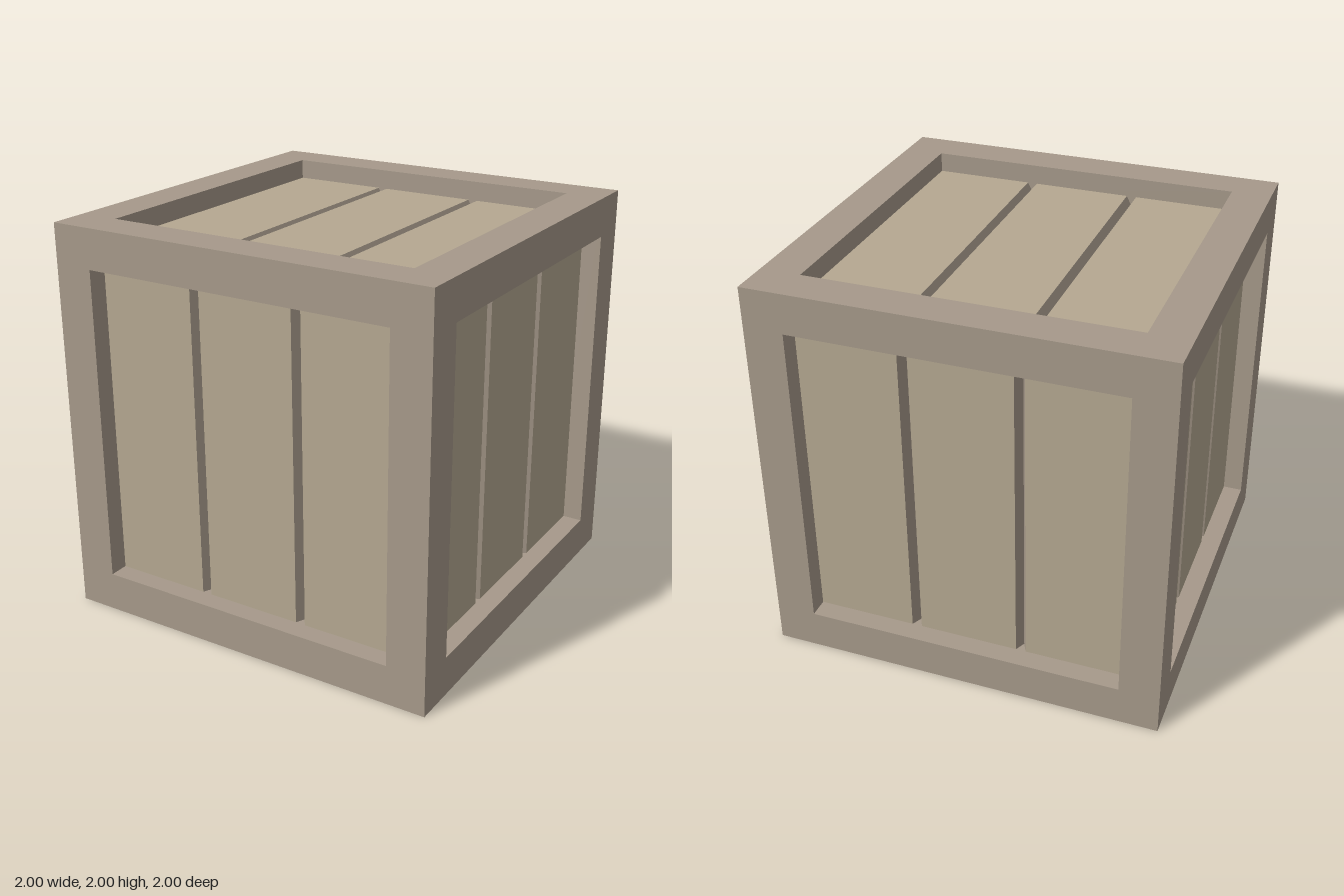
import * as THREE from 'three';

const BEAM = 0.2;      // square section of the frame
const INNER = 1.6;     // clear opening between beams
const FACE = 0.9;      // distance of the panels from the crate centre
const PLANK = 0.5;
const GAP = 0.05;      // groove width and depth

const frameMat = new THREE.MeshStandardMaterial({ color: 0xa6998a });
const plankMat = new THREE.MeshStandardMaterial({ color: 0xb5a891 });

function addMesh(parent, name, geometry, material, x, y, z) {
  const mesh = new THREE.Mesh(geometry, material);
  mesh.name = name;
  mesh.position.set(x, y, z);
  parent.add(mesh);
}

// V-shaped groove: a strip with its middle line pushed inwards
function grooveGeometry() {
  const strip = new THREE.PlaneGeometry(GAP, INNER, 2, 1);
  const pos = strip.attributes.position;
  for (let i = 0; i < pos.count; i++) {
    if (Math.abs(pos.getX(i)) < 1e-6) pos.setZ(i, -GAP);
  }
  const flat = strip.toNonIndexed();
  flat.computeVertexNormals();
  return flat;
}

// One recessed side: three planks with two grooves between them
function createPanel(name, rx, ry) {
  const panel = new THREE.Group();
  panel.name = name;
  const plank = new THREE.PlaneGeometry(PLANK, INNER);
  const groove = grooveGeometry();
  for (const i of [-1, 0, 1]) {
    addMesh(panel, 'plank', plank, plankMat, i * (PLANK + GAP), 0, FACE);
  }
  for (const s of [-1, 1]) {
    addMesh(panel, 'groove', groove, frameMat, s * (PLANK + GAP) / 2, 0, FACE);
  }
  panel.rotation.set(rx, ry, 0);
  return panel;
}

// Twelve beams along the edges of the cube
function createFrame() {
  const frame = new THREE.Group();
  frame.name = 'frame';
  const post = new THREE.BoxGeometry(BEAM, 2, BEAM);
  const crossBeam = new THREE.BoxGeometry(INNER, BEAM, BEAM);
  const sideBeam = new THREE.BoxGeometry(BEAM, BEAM, INNER);
  const c = 1 - BEAM / 2;
  for (const a of [-c, c]) {
    for (const b of [-c, c]) {
      addMesh(frame, 'cornerPost', post, frameMat, a, 0, b);
      addMesh(frame, 'crossBeam', crossBeam, frameMat, 0, a, b);
      addMesh(frame, 'sideBeam', sideBeam, frameMat, a, b, 0);
    }
  }
  return frame;
}

export function createModel() {
  const crate = new THREE.Group();
  crate.name = 'crate';
  const q = Math.PI / 2;
  crate.add(
    createFrame(),
    createPanel('frontPanel', 0, 0),
    createPanel('leftPanel', 0, q),
    createPanel('backPanel', 0, 2 * q),
    createPanel('rightPanel', 0, -q),
    createPanel('topPanel', -q, 0),
    createPanel('bottomPanel', q, 0),
  );
  crate.position.y = 1;
  const model = new THREE.Group();
  model.name = 'woodenCrate';
  model.add(crate);
  return model;
}
